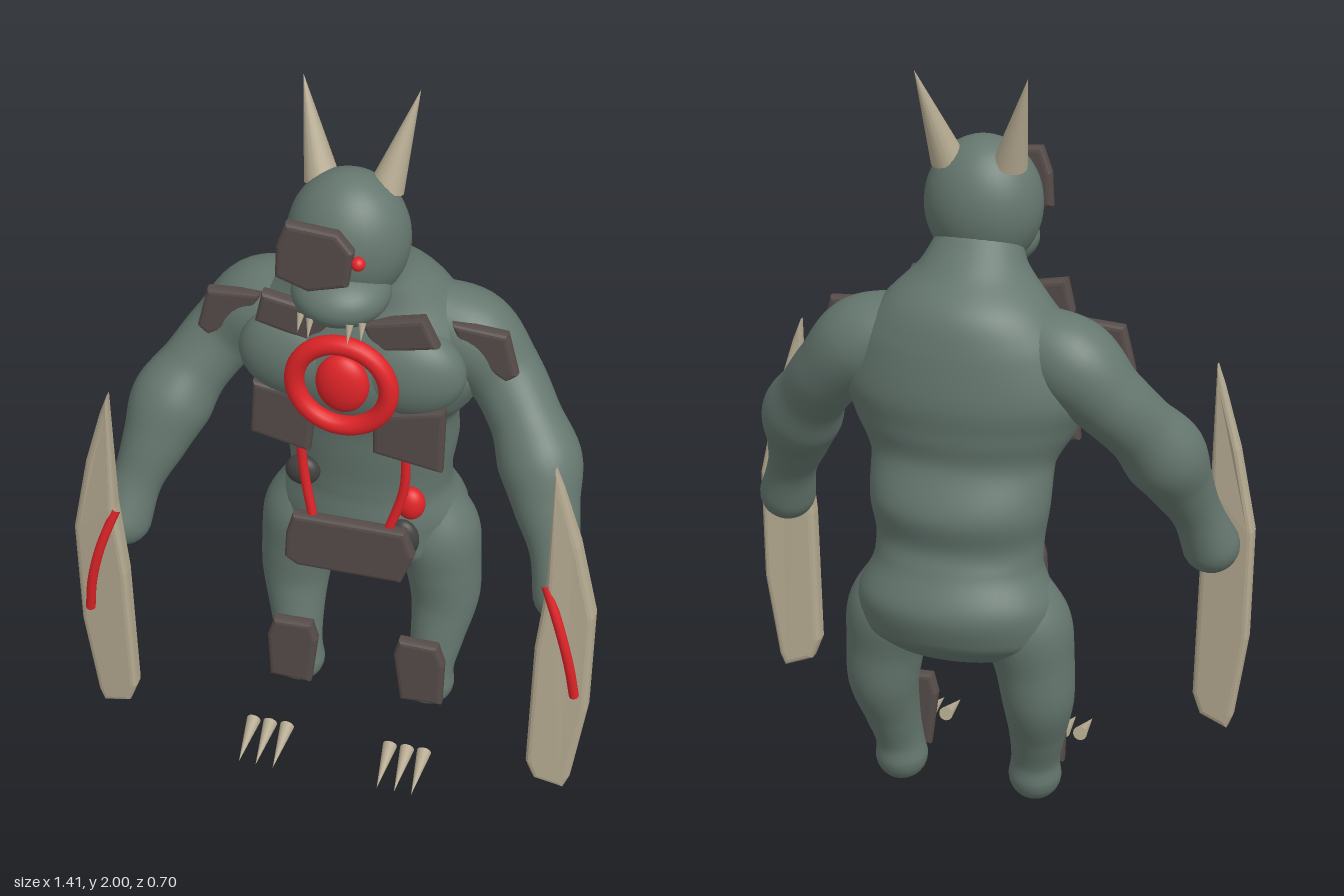
import * as THREE from 'three';

const material = (name, color) => Object.assign(new THREE.MeshStandardMaterial({ color }), { name });

export function createModel() {
  const model = new THREE.Group();
  const skin = material('grey green skin', 0x65776f);
  const armour = material('dark armour', 0x564c49);
  const red = material('red glow', 0xe02428);
  const bone = material('bone', 0xb5aa91);
  const dark = material('dark pod', 0x40413f);

  const add = (name, geometry, mat) => {
    const mesh = new THREE.Mesh(geometry, mat);
    mesh.name = name;
    model.add(mesh);
    return mesh;
  };

  // Smooth body swept through sections [x, y, z, radiusX, radiusZ], rounded at its end
  function sweep(sections, upright = false) {
    const path = new THREE.CatmullRomCurve3(sections.map(s => new THREE.Vector3(s[0], s[1], s[2])));
    const radii = new THREE.CatmullRomCurve3(sections.map(s => new THREE.Vector3(s[3], s[4] ?? s[3], 0)));
    const steps = sections.length * 6, cap = 6, sides = 40;
    const pos = [], index = [];
    for (let i = 0; i <= steps + cap; i++) {
      const t = Math.min(i / steps, 1);
      const a = Math.max(0, i - steps) / cap * Math.PI / 2;
      const c = path.getPoint(t), r = radii.getPoint(t);
      const T = upright ? new THREE.Vector3(0, -1, 0) : path.getTangent(t);
      const U = new THREE.Vector3(1, 0, 0).addScaledVector(T, -T.x).normalize();
      const V = T.clone().cross(U);
      c.addScaledVector(T, Math.min(r.x, r.y) * Math.sin(a));
      for (let j = 0; j < sides; j++) {
        const b = j / sides * Math.PI * 2, k = Math.max(Math.cos(a), 0.001);
        const p = c.clone().addScaledVector(U, r.x * k * Math.cos(b)).addScaledVector(V, r.y * k * Math.sin(b));
        pos.push(p.x, p.y, p.z);
        if (i < steps + cap) {
          const A = i * sides + j, B = i * sides + (j + 1) % sides;
          index.push(A, B, A + sides, B, B + sides, A + sides);
        }
      }
    }
    const g = new THREE.BufferGeometry();
    g.setAttribute('position', new THREE.Float32BufferAttribute(pos, 3));
    g.setIndex(index);
    g.computeVertexNormals();
    return g;
  }

  const ball = (name, mat, [x, y, z], [rx, ry, rz]) =>
    add(name, new THREE.SphereGeometry(1, 36, 24).scale(rx, ry, rz).translate(x, y, z), mat);

  // Bevelled plate cut from an outline facing the front
  function plate(points, z0, z1, s = 1, bevel = 0.014) {
    const shape = new THREE.Shape(points.map(([x, y]) => new THREE.Vector2(x * s, y)));
    return new THREE.ExtrudeGeometry(shape, {
      depth: z1 - z0 - 2 * bevel, bevelEnabled: true, bevelThickness: bevel,
      bevelSize: bevel, bevelOffset: -bevel, bevelSegments: 3,
    }).translate(0, 0, z0 + bevel);
  }

  // Cone from a base point to a tip
  function spike(name, base, tip, radius) {
    const a = new THREE.Vector3(...base), d = new THREE.Vector3(...tip).sub(a), h = d.length();
    const mesh = add(name, new THREE.ConeGeometry(radius, h, 16).translate(0, h / 2, 0), bone);
    mesh.position.copy(a);
    mesh.quaternion.setFromUnitVectors(new THREE.Vector3(0, 1, 0), d.normalize());
  }

  const hose = (name, points) => add(name, new THREE.TubeGeometry(
    new THREE.CatmullRomCurve3(points.map(p => new THREE.Vector3(...p))), 24, 0.013, 10), red);

  // Torso, neck and hips
  add('torso', sweep([
    [0, 1.58, 0.05, 0.1, 0.1], [0, 1.5, -0.01, 0.14, 0.13], [0, 1.43, -0.055, 0.21, 0.165],
    [0, 1.33, -0.06, 0.29, 0.195], [0, 1.2, -0.06, 0.33, 0.21], [0, 1.1, -0.07, 0.295, 0.19],
    [0, 1.01, -0.105, 0.245, 0.15], [0, 0.9, -0.135, 0.24, 0.165], [0, 0.8, -0.133, 0.225, 0.152],
    [0, 0.74, -0.145, 0.225, 0.162], [0, 0.64, -0.165, 0.265, 0.185], [0, 0.55, -0.155, 0.265, 0.17],
    [0, 0.48, -0.14, 0.19, 0.11], [0, 0.455, -0.14, 0.02, 0.02],
  ], true), skin);

  // Head
  ball('head', skin, [0, 1.635, 0.08], [0.155, 0.177, 0.14]);
  ball('muzzle', skin, [0, 1.52, 0.155], [0.125, 0.078, 0.125]);
  add('facePlate', plate([[-0.115, 1.75], [0.015, 1.74], [0.055, 1.69], [0.04, 1.59],
    [-0.06, 1.56], [-0.145, 1.59], [-0.14, 1.68]], 0.213, 0.25), armour);
  ball('eye', red, [0.063, 1.655, 0.23], [0.018, 0.018, 0.018]);

  // Chest ring and core
  add('chestRing', new THREE.TorusGeometry(0.124, 0.026, 16, 48).translate(0, 1.23, 0.16), red);
  ball('chestCore', red, [0, 1.23, 0.15], [0.07, 0.085, 0.04]);

  // Plates that differ between the two sides
  const plates = {
    rightCollarPlate: [[-0.22, 1.445], [-0.03, 1.41], [-0.07, 1.31], [-0.24, 1.355]],
    leftCollarPlate: [[0.04, 1.4], [0.2, 1.44], [0.24, 1.355], [0.07, 1.315]],
    rightRibPlate: [[-0.25, 1.165], [-0.08, 1.14], [-0.1, 0.965], [-0.26, 1.0]],
    leftRibPlate: [[0.07, 1.12], [0.26, 1.165], [0.255, 0.965], [0.07, 0.995]],
  };
  for (const [name, outline] of Object.entries(plates)) add(name, plate(outline, 0.08, 0.122), armour);
  add('beltPlate', plate([[-0.155, 0.73], [0.155, 0.73], [0.18, 0.65], [0.145, 0.555],
    [-0.145, 0.555], [-0.18, 0.58], [-0.175, 0.66]], 0.065, 0.105), armour);

  // Belly pods and hoses
  ball('leftRedPod', red, [0.145, 0.755, 0], [0.04, 0.05, 0.033]);
  ball('rightRedPod', red, [-0.185, 0.95, 0], [0.03, 0.04, 0.03]);
  ball('rightDarkPod', dark, [-0.15, 0.815, 0.01], [0.048, 0.045, 0.03]);
  ball('leftDarkPod', dark, [0.13, 0.645, 0.02], [0.045, 0.062, 0.028]);
  hose('rightHose', [[-0.135, 1.0, 0.08], [-0.128, 0.87, 0.075], [-0.1, 0.7, 0.08]]);
  hose('leftHose', [[0.15, 1.0, 0.08], [0.145, 0.86, 0.075], [0.1, 0.7, 0.08]]);

  // Mirrored parts
  for (const s of [-1, 1]) {
    const side = s > 0 ? 'left' : 'right';
    const limb = sections => sweep(sections.map(([x, ...rest]) => [x * s, ...rest]));
    ball(side + 'Pectoral', skin, [s * 0.14, 1.24, 0.06], [0.16, 0.13, 0.09]);
    add(side + 'Arm', limb([
      [0.17, 1.33, -0.07, 0.1], [0.28, 1.28, -0.075, 0.12], [0.37, 1.19, -0.06, 0.1],
      [0.44, 1.1, -0.01, 0.095], [0.495, 1.01, 0.045, 0.11], [0.53, 0.91, 0.1, 0.088],
      [0.57, 0.8, 0.15, 0.068], [0.6, 0.7, 0.19, 0.078],
    ]), skin);
    add(side + 'Leg', limb([
      [0.15, 0.66, -0.15, 0.1], [0.185, 0.56, -0.145, 0.12], [0.205, 0.46, -0.14, 0.107],
      [0.215, 0.35, -0.135, 0.097], [0.205, 0.23, -0.1, 0.077], [0.193, 0.13, -0.072, 0.066],
      [0.19, 0.075, -0.065, 0.072],
    ]), skin);
    add(side + 'ShoulderPlate', plate([[0.25, 1.375], [0.395, 1.365], [0.425, 1.245],
      [0.395, 1.22], [0.28, 1.29]], -0.007, 0.032, s), armour);
    add(side + 'ShinPlate', plate([[0.125, 0.288], [0.235, 0.285], [0.255, 0.22], [0.25, 0.075],
      [0.13, 0.07], [0.11, 0.23]], 0, 0.04, s), armour);

    // Horns, teeth and toe claws
    spike(side + 'Horn', [s * 0.082, 1.755, 0.035], [s * 0.147, 2, -0.037], 0.045);
    spike(side + 'InnerTooth', [s * 0.05, 1.495, 0.26], [s * 0.05, 1.45, 0.285], 0.01);
    spike(side + 'OuterTooth', [s * 0.078, 1.495, 0.245], [s * 0.08, 1.455, 0.27], 0.01);
    for (const x of [0.148, 0.197, 0.245])
      spike(side + 'ToeClaw', [s * x, 0.057, 0.207], [s * x, 0.028, 0.35], 0.02);

    // Forearm blade, slightly turned, thinning toward its tip, with a red cord
    const blade = plate([[0.582, 1.18], [0.605, 1.12], [0.655, 0.95], [0.703, 0.72], [0.7, 0.4],
      [0.665, 0.15], [0.65, 0.112], [0.57, 0.14], [0.547, 0.2], [0.555, 0.6], [0.577, 0.82]],
      -0.028, 0.028, s, 0.016);
    const p = blade.attributes.position;
    for (let i = 0; i < p.count; i++) {
      const thin = 1 - 0.45 * THREE.MathUtils.smoothstep(p.getY(i), 0.85, 1.18);
      p.setZ(i, 0.278 + p.getZ(i) * thin - 0.15 * (Math.abs(p.getX(i)) - 0.63));
    }
    blade.computeVertexNormals();
    add(side + 'Blade', blade, bone);
    hose(side + 'BladeCord', [[s * 0.575, 0.815, 0.3], [s * 0.62, 0.69, 0.318],
      [s * 0.65, 0.57, 0.318], [s * 0.666, 0.46, 0.306]]);
  }
  return model;
}
